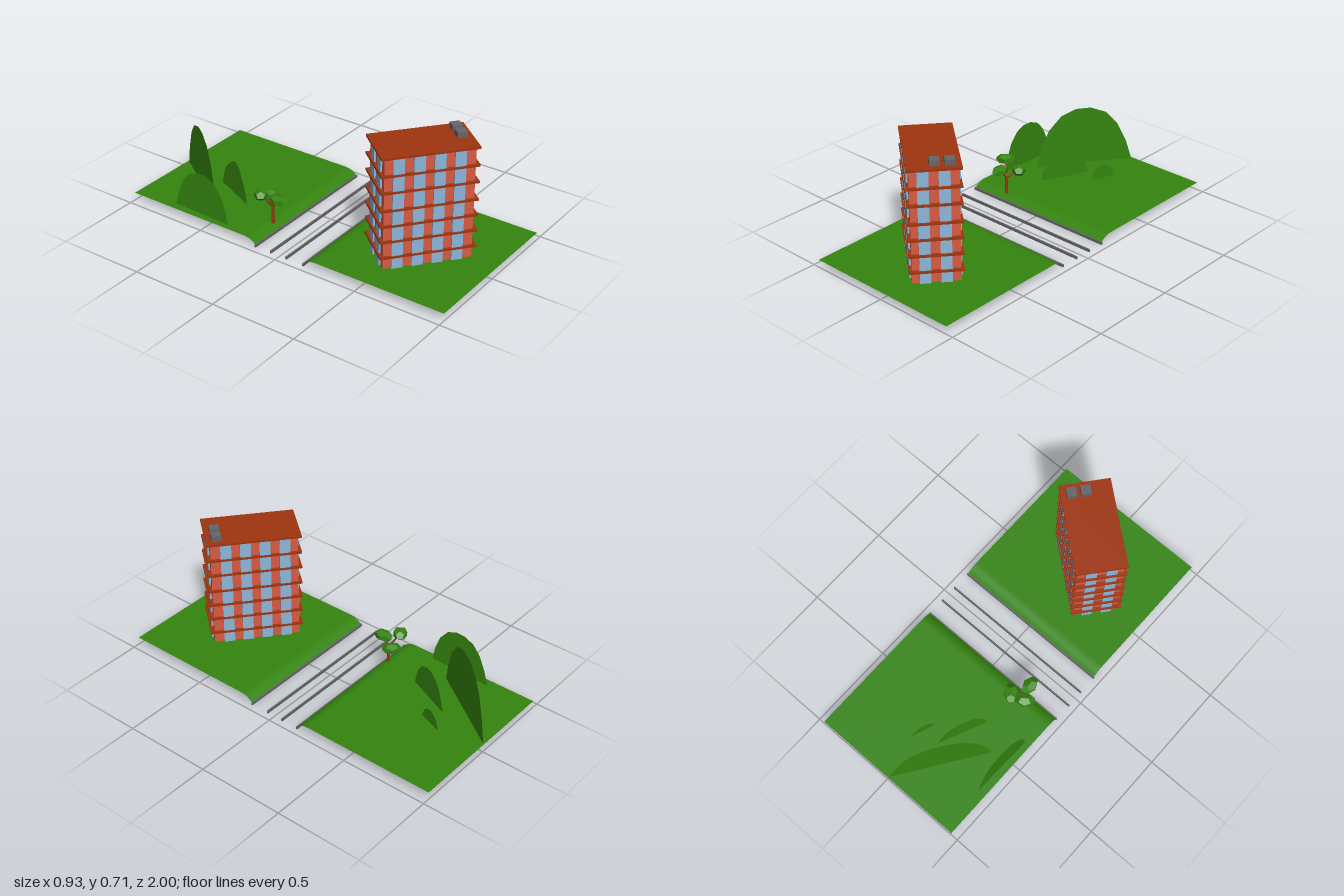
import * as THREE from 'three';

const mat = (name, color, side = THREE.FrontSide) => {
  const m = new THREE.MeshStandardMaterial({ color, side });
  m.name = name;
  return m;
};

export function createModel() {
  const grass = mat('grass green', 0x35850f, THREE.DoubleSide);
  const brick = mat('brick red', 0xd95b43);
  const glass = mat('window blue', 0x8cb6da);
  const rust = mat('rust brown', 0xa0350f);
  const grey = mat('grey', 0x66666a);

  const model = new THREE.Group();
  const add = (parent, name, geo, material, x = 0, y = 0, z = 0) => {
    const mesh = new THREE.Mesh(geo, material);
    mesh.name = name;
    mesh.position.set(x, y, z);
    parent.add(mesh);
    return mesh;
  };
  const box = (parent, name, m, w, h, d, x, y, z) =>
    add(parent, name, new THREE.BoxGeometry(w, h, d), m, x, y, z);

  // Two lawns: open sheets that roll down to the sunken road
  const bank = [[1, 0.044], [0.23, 0.044], [0.205, 0.041], [0.185, 0.034], [0.17, 0.024], [0.157, 0.012]];
  for (const side of [1, -1]) {
    const pos = [], idx = [];
    bank.forEach(([z, y], i) => {
      pos.push(-0.46, y, z * side, 0.46, y, z * side);
      const a = 2 * i;
      if (i < bank.length - 1)
        idx.push(...(side > 0 ? [a, a + 1, a + 2, a + 1, a + 3, a + 2] : [a, a + 2, a + 1, a + 1, a + 2, a + 3]));
    });
    const geo = new THREE.BufferGeometry();
    geo.setAttribute('position', new THREE.Float32BufferAttribute(pos, 3));
    geo.setIndex(idx);
    geo.computeVertexNormals();
    add(model, side > 0 ? 'frontLawn' : 'backLawn', geo, grass);
  }

  // Road edge and lane strips
  for (const z of [0.154, 0.045, -0.055, -0.157])
    box(model, 'roadStrip', grey, 0.927, 0.015, 0.008, 0, 0.0075, z);

  // Tower block
  const tower = new THREE.Group();
  tower.name = 'tower';
  tower.position.set(-0.043, 0, 0.592);
  tower.rotation.y = -0.689;
  model.add(tower);
  const L = 0.473, W = 0.249, base = 0.03, top = 0.68;
  const H = top - base, mid = (top + base) / 2, t = 0.006;
  for (const s of [1, -1]) {
    // hollow walls with slightly projecting window bays
    box(tower, 'longWall', brick, L, H, t, 0, mid, s * (W - t) / 2);
    box(tower, 'endWall', brick, t, H, W, s * (L - t) / 2, mid, 0);
    for (const f of [0.153, 0.38, 0.603, 0.826])
      box(tower, 'longWindow', glass, 0.059, H, 0.01, (f - 0.5) * L, mid, s * (W / 2 + 0.005));
    for (const f of [0.27, 0.7])
      box(tower, 'endWindow', glass, 0.01, H, 0.058, s * (L / 2 + 0.005), mid, (0.5 - f) * W);
  }
  for (const y of [0.112, 0.204, 0.294, 0.384, 0.485, 0.579, 0.678])
    box(tower, 'floorSlab', rust, 0.512, 0.012, 0.277, 0, y, 0);
  for (const z of [-0.08, -0.005])
    box(tower, 'roofUnit', grey, 0.053, 0.03, 0.053, 0.198, 0.698, z);

  // Flat hills standing upright on the back lawn: start xz, end xz, bottom, peak
  const profile = [[0, 0], [0.04, 0.33], [0.12, 0.66], [0.25, 0.9], [0.4, 1],
    [0.55, 1], [0.71, 0.9], [0.83, 0.69], [0.93, 0.36], [1, 0]];
  const hill = (x0, z0, x1, z1, bottom, peak) => {
    const len = Math.hypot(x1 - x0, z1 - z0);
    const shape = new THREE.Shape(profile.map(([u, v]) => new THREE.Vector2(u * len, v * (peak - bottom))));
    const mesh = add(model, 'hill', new THREE.ShapeGeometry(shape), grass, x0, bottom, z0);
    mesh.rotation.y = -Math.atan2(z1 - z0, x1 - x0);
  };
  hill(-0.33, -0.53, -0.008, -0.997, 0.03, 0.39);
  hill(-0.426, -0.37, -0.414, -0.74, 0.04, 0.288);
  hill(-0.2, -0.42, -0.08, -0.69, 0.035, 0.217);
  hill(0, -0.615, 0.055, -0.762, 0.022, 0.122);

  // Tree: trunk, three branches and faceted crowns
  const tree = new THREE.Group();
  tree.name = 'tree';
  model.add(tree);
  const limb = (name, a, b, r0, r1) => {
    const va = new THREE.Vector3(...a), d = new THREE.Vector3(...b).sub(va);
    const mesh = add(tree, name, new THREE.CylinderGeometry(r1, r0, d.length(), 6), rust);
    mesh.position.copy(va).addScaledVector(d, 0.5);
    mesh.quaternion.setFromUnitVectors(new THREE.Vector3(0, 1, 0), d.normalize());
  };
  const leaf = mat('leaf green', 0x35850f);
  leaf.flatShading = true;
  const fork = [-0.258, 0.135, -0.196];
  limb('trunk', [-0.258, 0.035, -0.196], fork, 0.01, 0.008);
  const crowns = [
    [-0.303, 0.218, -0.237, 0.6],
    [-0.213, 0.175, -0.248, 2.3],
    [-0.264, 0.19, -0.153, 1.6],
  ];
  for (const [x, y, z, turn] of crowns) {
    limb('branch', fork, [x, y, z], 0.006, 0.005);
    const crown = add(tree, 'crown', new THREE.DodecahedronGeometry(1), leaf, x, y, z);
    crown.scale.set(0.055, 0.028, 0.04);
    crown.rotation.y = turn;
  }
  return model;
}
